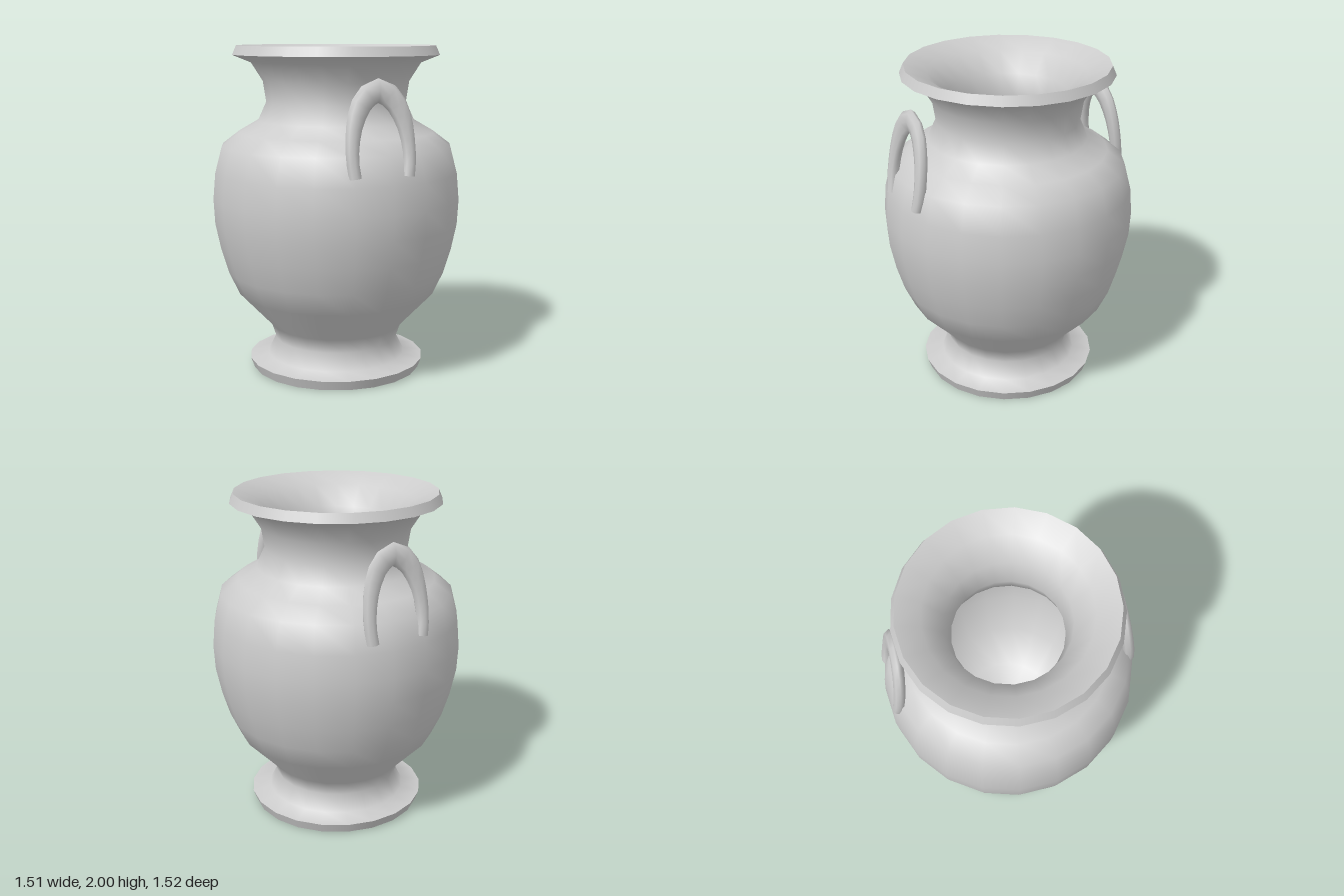
import * as THREE from 'three';
import { mergeVertices } from 'three/addons/utils/BufferGeometryUtils.js';

const material = new THREE.MeshStandardMaterial({ color: 0xcccccc });
const SIDES = 21;

// One smooth ring of the vase; separate rings meet in sharp edges
function turned(name, profile) {
  const points = profile.map(([r, y]) => new THREE.Vector2(r, y));
  const mesh = new THREE.Mesh(new THREE.LatheGeometry(points, SIDES, Math.PI / 2), material);
  mesh.name = name;
  return mesh;
}

// Arched loop: flattened section, thick at the crown, thin at the ends, leaning inwards
function makeHandle(name) {
  const half = [[0.16, 1.29], [0.17, 1.37], [0.168, 1.47], [0.14, 1.61], [0.08, 1.72]];
  const path = [...half.map(([x, y]) => [-x, y]), [0, 1.762], ...half.slice().reverse()];
  const curve = new THREE.CatmullRomCurve3(path.map(([x, y]) => new THREE.Vector3(x, y, 0)));
  const steps = 16, sides = 8;
  const tube = new THREE.TubeGeometry(curve, steps, 1, sides, false);
  const pos = tube.attributes.position;
  const v = new THREE.Vector3();
  for (let i = 0; i <= steps; i++) {
    const centre = curve.getPointAt(i / steps);
    const crown = Math.sin(Math.PI * i / steps) ** 3;
    const width = 0.038 + 0.03 * crown;
    const lean = 0.695 - 0.14 * (centre.y - 1.33);
    for (let j = 0; j <= sides; j++) {
      const k = i * (sides + 1) + j;
      v.fromBufferAttribute(pos, k).sub(centre);
      pos.setXYZ(k, centre.x + v.x * width, centre.y + v.y * width, lean + v.z * 0.034);
    }
  }
  tube.deleteAttribute('uv');
  tube.deleteAttribute('normal');
  const geometry = mergeVertices(tube, 1e-4);
  geometry.computeVertexNormals();
  const mesh = new THREE.Mesh(geometry, material);
  mesh.name = name;
  return mesh;
}

export function createModel() {
  const model = new THREE.Group();
  model.name = 'vase';

  const vessel = new THREE.Group();
  vessel.name = 'vessel';
  vessel.position.x = -0.004; // the odd number of sides is wider towards +x
  vessel.add(
    turned('footUnderside', [[0, 0], [0.525, 0]]),
    turned('footEdge', [[0.525, 0], [0.547, 0.06]]),
    turned('outerWall', [
      [0.547, 0.06], [0.43, 0.08], [0.38, 0.18], [0.41, 0.27], [0.61, 0.48], [0.675, 0.62],
      [0.72, 0.77], [0.753, 0.93], [0.761, 1.08], [0.747, 1.24], [0.705, 1.4], [0.6, 1.48],
      [0.48, 1.55], [0.43, 1.66], [0.45, 1.79], [0.52, 1.9], [0.632, 1.945],
    ]),
    turned('rimEdge', [[0.632, 1.945], [0.608, 2]]),
    turned('innerWall', [
      [0.608, 2], [0.47, 1.94], [0.36, 1.82], [0.322, 1.66], [0.37, 1.5], [0.5, 1.41],
      [0.6, 1.33], [0.65, 1.08], [0.62, 0.8], [0.51, 0.52], [0.32, 0.33], [0, 0.27],
    ]),
  );
  model.add(vessel);

  // Handles on the front and back shoulders
  const front = makeHandle('frontHandle');
  const back = makeHandle('backHandle');
  back.rotation.y = Math.PI;
  model.add(front, back);

  return model;
}
